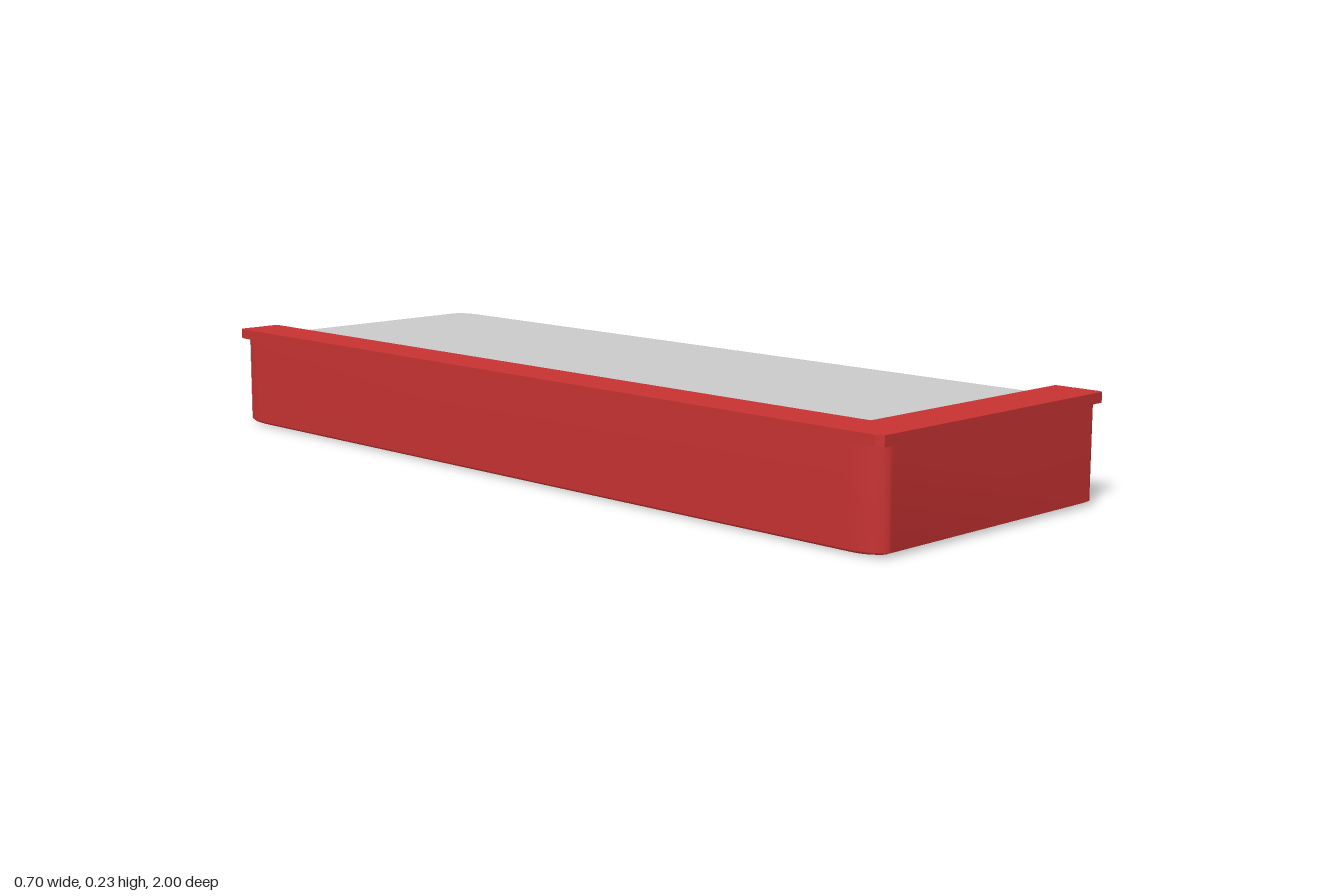
import * as THREE from 'three';

const HX = 0.347, HZ = 0.997;   // half width and length of the body
const RX = 0.035, RZ = 0.08;    // corner radii
const N = 8, COUNT = 4 * (N + 1);

// Outline with elliptical corners, starting on the left and going round by the front
function outline(insetX, insetZ) {
  const points = [];
  for (let k = 0; k < 4; k++) {
    const sx = k === 0 || k === 3 ? 1 : -1, sz = k < 2 ? 1 : -1;
    for (let i = 0; i <= N; i++) {
      const a = (k + i / N) * Math.PI / 2;
      const rx = Math.max(RX - insetX, 0), rz = Math.max(RZ - insetZ, 0);
      points.push([sx * (HX - insetX - rx) + rx * Math.cos(a), sz * (HZ - insetZ - rz) + rz * Math.sin(a)]);
    }
  }
  return points;
}

// Surface through rings [y, insetX, insetZ], over part of the outline
function loft(rings, from, to) {
  const positions = [], index = [], width = to - from + 1;
  rings.forEach(([y, ix, iz], r) => {
    const pts = outline(ix, iz);
    for (let i = from; i <= to; i++) {
      const [x, z] = pts[i % COUNT];
      positions.push(x, y, z);
      if (r > 0 && i > from) {
        const b = r * width + i - from, a = b - width;
        index.push(a - 1, b - 1, b, a - 1, b, a);
      }
    }
  });
  const geometry = new THREE.BufferGeometry();
  geometry.setAttribute('position', new THREE.Float32BufferAttribute(positions, 3));
  geometry.setIndex(index);
  geometry.computeVertexNormals();
  return geometry;
}

// Flat cap filling one outline
function cap(y, insetX, insetZ, up) {
  const shape = new THREE.Shape(outline(insetX, insetZ).map(([x, z]) => new THREE.Vector2(x, up ? -z : z)));
  return new THREE.ShapeGeometry(shape).rotateX(up ? -Math.PI / 2 : Math.PI / 2).translate(0, y, 0);
}

export function createModel() {
  const group = new THREE.Group();
  const grey = new THREE.MeshStandardMaterial({ color: 0xcccccc });
  const red = new THREE.MeshStandardMaterial({ color: 0xc83232 });
  const add = (name, geometry, material) => {
    const mesh = new THREE.Mesh(geometry, material);
    mesh.name = name;
    group.add(mesh);
  };

  // Walls with a soft lower edge, split at the middle of two opposite corners
  const wall = [[0, 0.025, 0.055], [0.002, 0.013, 0.028], [0.005, 0.005, 0.011], [0.01, 0, 0], [0.207, 0, 0]];
  const half = N / 2, turn = COUNT / 2;
  add('redWalls', loft(wall, half, half + turn), red);
  add('greyWalls', loft(wall, half + turn, half + COUNT), grey);
  add('bottomPanel', cap(0, 0.025, 0.055, false), red);

  // Top panel with a gently rounded rim
  const rim = [[0.207, 0, 0], [0.21, 0.005, 0.012], [0.212, 0.014, 0.03], [0.213, 0.028, 0.06]];
  add('topRim', loft(rim, 0, COUNT), grey);
  add('topPanel', cap(0.213, 0.028, 0.06, true), grey);

  // Flat L-shaped trim along the right and front edges
  const trim = new THREE.Shape([
    [-0.343, 1], [-0.24, 1], [-0.24, -0.885], [0.349, -0.885], [0.349, -0.99],
    [0.343, -1], [-0.341, -1], [-0.349, -0.985], [-0.349, 0.985],
  ].map(([x, y]) => new THREE.Vector2(x, y)));
  const trimGeometry = new THREE.ExtrudeGeometry(trim, { depth: 0.022, bevelEnabled: false });
  add('edgeTrim', trimGeometry.rotateX(-Math.PI / 2).translate(0, 0.207, 0), red);

  return group;
}
